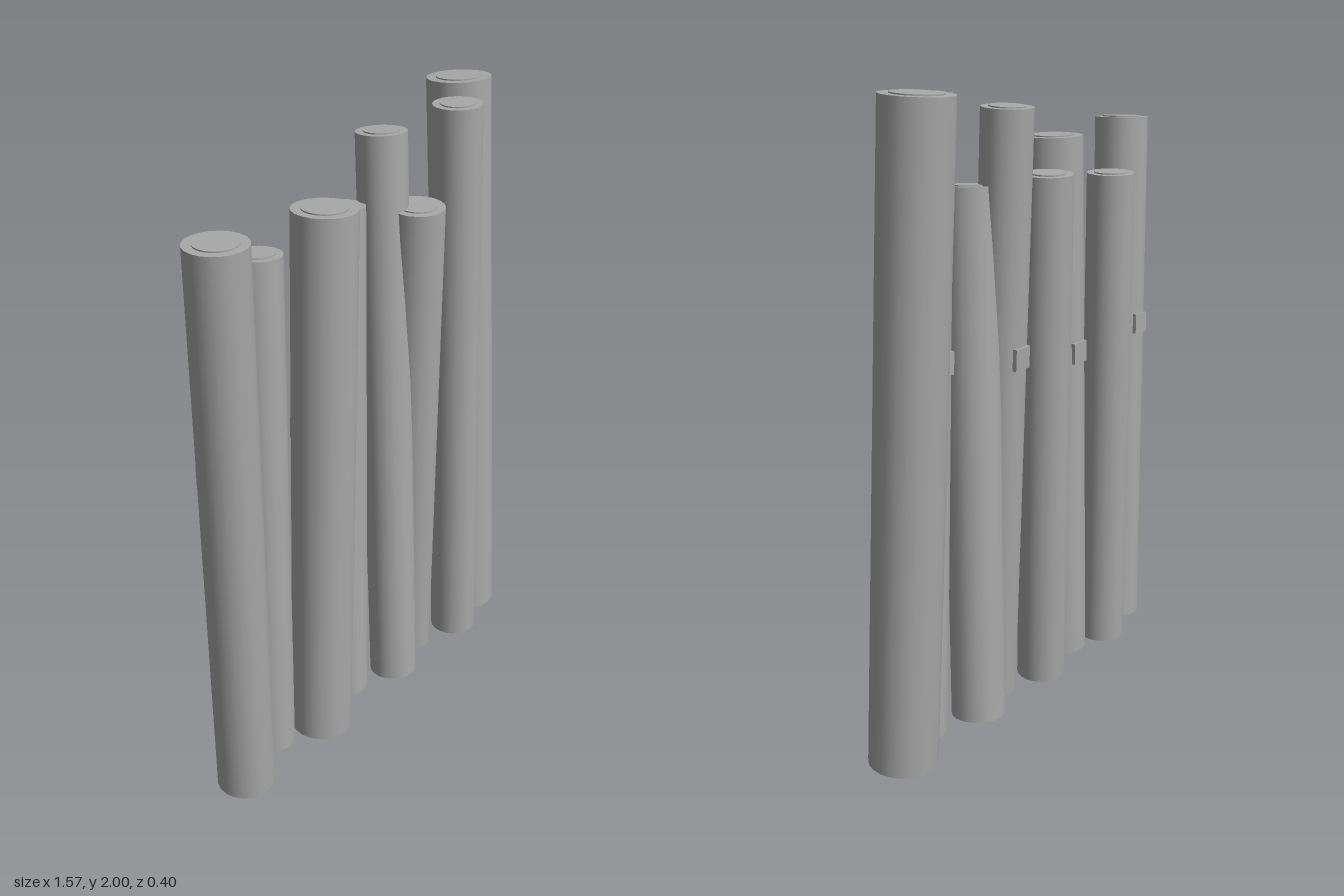
import * as THREE from 'three';

const UP = new THREE.Vector3(0, 1, 0);

// radius, base x, base z, top x, top y, top z, has a bracket on the back
const POLES = [
  [0.092, -0.632, 0.07, -0.697, 1.833, 0.107, true],
  [0.079, -0.43, -0.005, -0.38, 1.68, -0.05, false],
  [0.1, -0.258, 0.07, -0.232, 1.805, 0.082, true],
  [0.081, -0.048, -0.003, 0.022, 1.717, -0.074, false],
  [0.081, 0.137, 0.07, 0.168, 1.925, -0.03, true],
  [0.087, 0.31, -0.006, 0.228, 1.692, 0.069, false],
  [0.08, 0.501, 0.071, 0.421, 1.975, 0.072, true],
  [0.107, 0.679, 0, 0.664, 1.991, -0.097, false],
];

export function createModel() {
  const model = new THREE.Group();
  model.name = 'leaningPoles';
  const grey = new THREE.MeshStandardMaterial({ color: 0xa8a8a8 });
  grey.name = 'stoneGrey';

  for (const [r, bx, bz, tx, ty, tz, hasBracket] of POLES) {
    const base = new THREE.Vector3(bx, 0.006, bz);
    const axis = new THREE.Vector3(tx, ty, tz).sub(base);
    const length = axis.length();

    // Each pole is built upright, then leaned along its axis
    const pole = new THREE.Group();
    pole.name = 'pole';
    pole.position.copy(base);
    pole.quaternion.setFromUnitVectors(UP, axis.normalize());

    const add = (name, geometry, y, z = 0) => {
      const mesh = new THREE.Mesh(geometry, grey);
      mesh.name = name;
      mesh.position.set(0, y, z);
      pole.add(mesh);
    };
    add('shaft', new THREE.CylinderGeometry(r, r, length, 20), length / 2);
    // Slightly raised disc on the end
    add('topDisc', new THREE.CylinderGeometry(r * 0.7, r * 0.7, 0.008, 20), length);
    // Small block showing through the back of the shaft
    if (hasBracket) add('bracket', new THREE.BoxGeometry(0.07, 0.07, 0.03), length * 0.605, -r + 0.01);
    model.add(pole);
  }
  return model;
}
